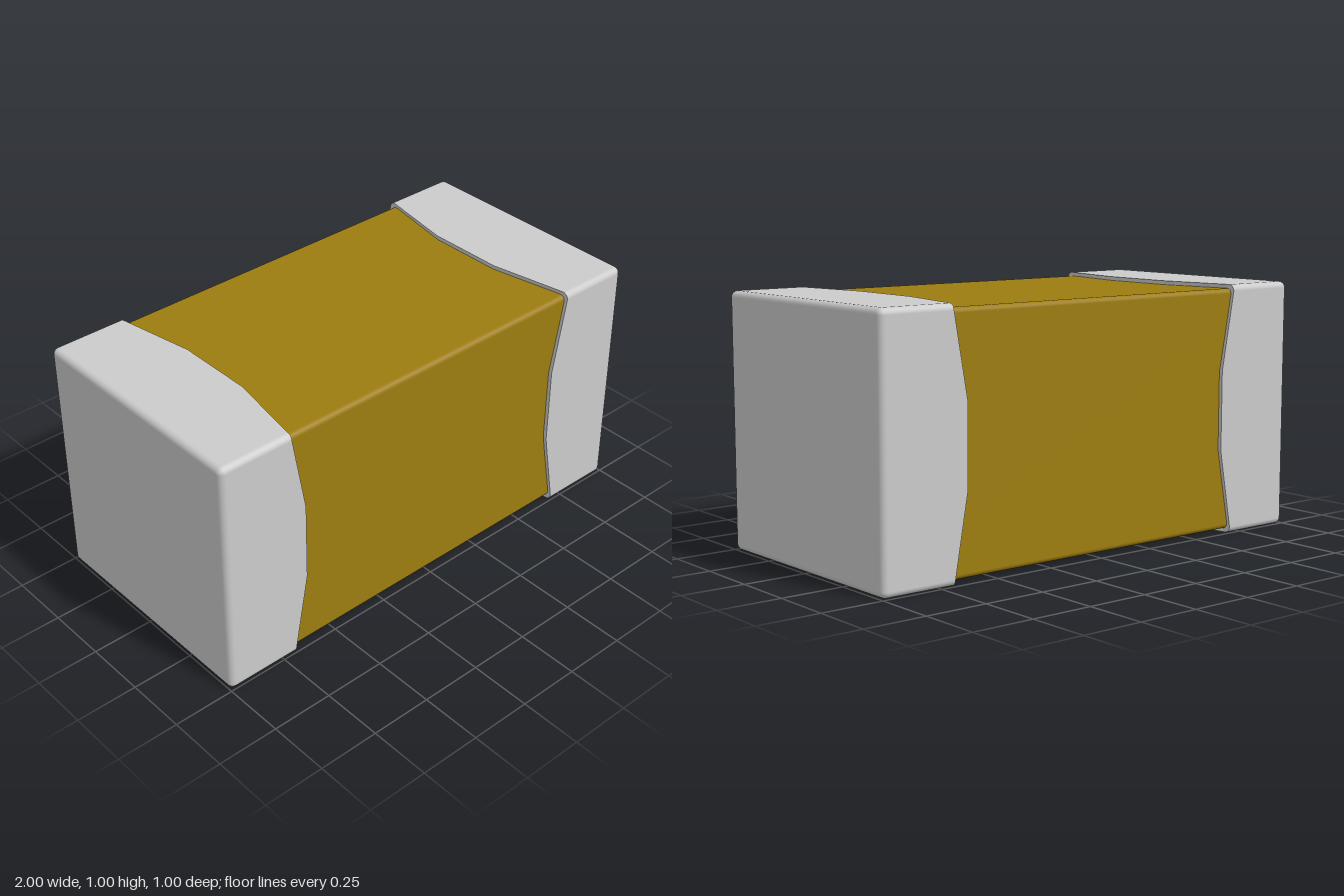
import * as THREE from 'three';
import { RoundedBoxGeometry } from 'three/addons/geometries/RoundedBoxGeometry.js';
import { mergeGeometries } from 'three/addons/utils/BufferGeometryUtils.js';

const HALF = 0.5, R = 0.025, ARC = 5, FLAT = 0.16;

// Rounded-square section: core point (y, z) and outward direction (ny, nz)
function section() {
  const pts = [], core = HALF - R;
  for (let k = 0; k < 4; k++) {
    const a = k * Math.PI / 2, c = Math.round(Math.cos(a)), s = Math.round(Math.sin(a));
    const add = (t, ang) => pts.push({
      y: core * c - t * s, z: core * s + t * c, ny: Math.cos(ang), nz: Math.sin(ang),
    });
    add(-FLAT, a);
    add(FLAT, a);
    for (let i = 0; i <= ARC; i++) add(core, a + (i / ARC) * Math.PI / 2);
  }
  return pts;
}

// Join successive rings of points into a strip
function loft(rings, normals) {
  const n = rings[0].length, index = [];
  for (let i = 0; i < rings.length - 1; i++)
    for (let j = 0; j < n; j++) {
      const k = (j + 1) % n, a = i * n + j, b = i * n + k, c = a + n, d = b + n;
      index.push(a, c, b, b, c, d);
    }
  const g = new THREE.BufferGeometry();
  g.setAttribute('position', new THREE.Float32BufferAttribute(rings.flat(2), 3));
  if (normals) g.setAttribute('normal', new THREE.Float32BufferAttribute(normals.flat(2), 3));
  g.setIndex(index);
  const out = g.toNonIndexed();
  if (!normals) out.computeVertexNormals();
  return out;
}

function capGeometry() {
  const pts = section(), rings = [], normals = [];
  // End face, starting from its centre
  rings.push(pts.map(() => [1, 0, 0]));
  normals.push(pts.map(() => [1, 0, 0]));
  // Rounded outer edge
  for (let i = 0; i <= ARC; i++) {
    const phi = (i / ARC) * Math.PI / 2, s = Math.sin(phi), c = Math.cos(phi);
    rings.push(pts.map(p => [1 - R + R * c, p.y + R * s * p.ny, p.z + R * s * p.nz]));
    normals.push(pts.map(p => [c, s * p.ny, s * p.nz]));
  }
  // Sides, reaching further inward at the middle of each face
  const edge = pts.map(p => {
    const t = Math.min(Math.abs(p.y), Math.abs(p.z));
    const x = 0.633 + 0.057 * THREE.MathUtils.clamp((t - FLAT) / (HALF - R - FLAT), 0, 1);
    return [x, p.y + R * p.ny, p.z + R * p.nz];
  });
  rings.push(edge);
  normals.push(normals[normals.length - 1]);
  // Flat rim stepping down into the body
  const inner = edge.map(([x, y, z]) => [x, y * 0.95, z * 0.95]);
  return mergeGeometries([loft(rings, normals), loft([edge, inner])]);
}

export function createModel() {
  const model = new THREE.Group();
  model.name = 'chipComponent';

  // Ceramic body
  const body = new THREE.Mesh(
    new RoundedBoxGeometry(1.94, 0.968, 0.968, 4, 0.02),
    new THREE.MeshStandardMaterial({ color: 0x9d7d10 }),
  );
  body.name = 'body';
  body.position.y = HALF;
  model.add(body);

  // Metal end caps
  const geometry = capGeometry();
  const metal = new THREE.MeshStandardMaterial({ color: 0xcccccc });
  for (const [name, turn] of [['leftCap', 0], ['rightCap', Math.PI]]) {
    const cap = new THREE.Mesh(geometry, metal);
    cap.name = name;
    cap.position.y = HALF;
    cap.rotation.y = turn;
    model.add(cap);
  }
  return model;
}
